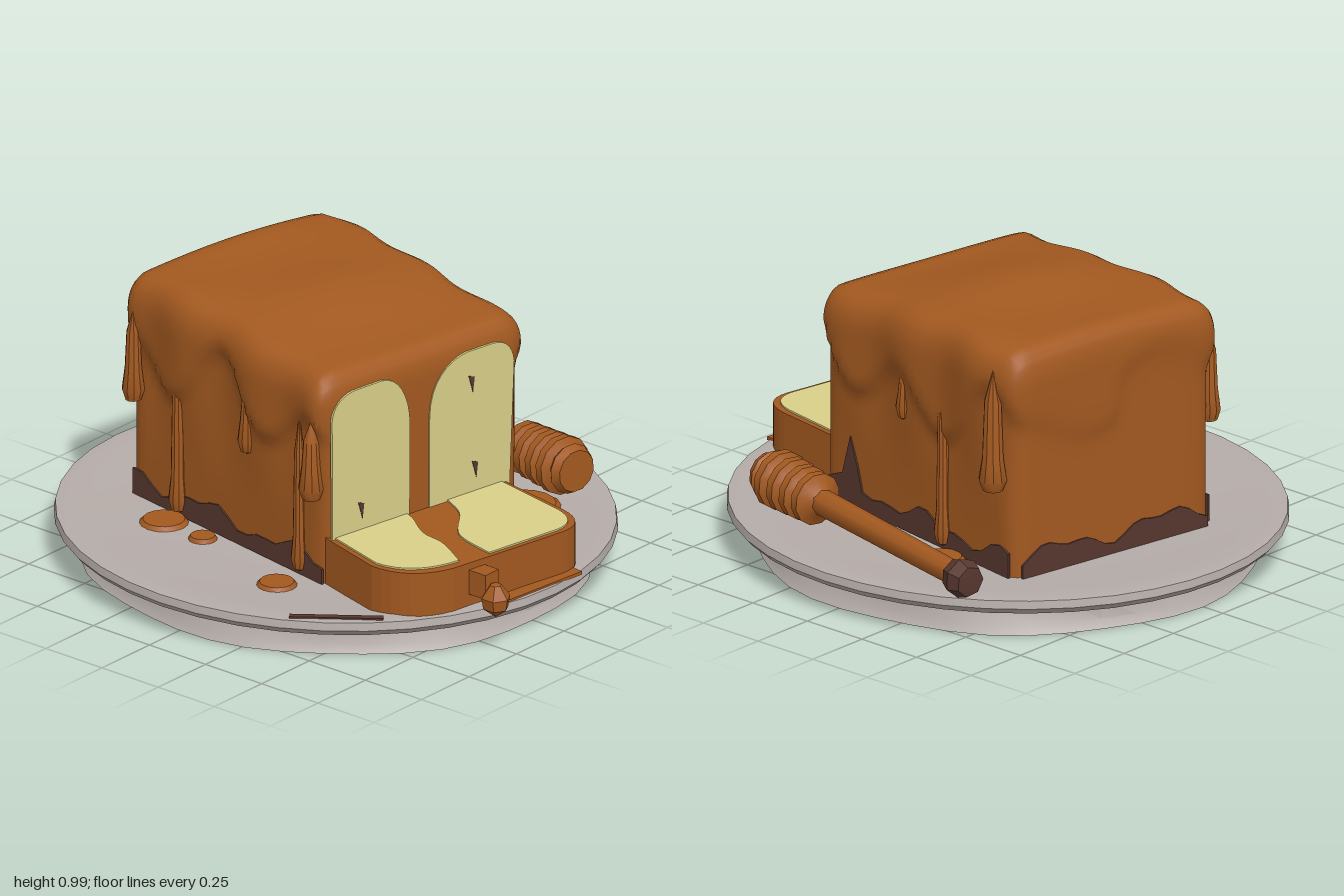
import * as THREE from 'three';
import { mergeVertices, toCreasedNormals } from 'three/addons/utils/BufferGeometryUtils.js';

const mat = (name, color) => {
  const m = new THREE.MeshStandardMaterial({ color });
  m.name = name;
  return m;
};
const { smoothstep, clamp } = THREE.MathUtils;
const V2 = (p) => p.map(([x, y]) => new THREE.Vector2(x, y));

export function createModel() {
  const glaze = mat('caramel glaze', 0xa35920);
  const cream = mat('cream crumb', 0xdacf88);
  const crust = mat('dark crust', 0x57372f);
  const china = mat('grey china', 0xb5aca8);

  const model = new THREE.Group();
  const add = (parent, name, geo, material, x = 0, y = 0, z = 0) => {
    const m = new THREE.Mesh(geo, material);
    m.name = name;
    m.position.set(x, y, z);
    parent.add(m);
    return m;
  };
  const crease = (geo, angle = 0.6) => {
    geo.deleteAttribute('uv');
    geo.deleteAttribute('normal');
    return toCreasedNormals(mergeVertices(geo, 1e-4), angle);
  };
  const lathe = (pts, n) => crease(new THREE.LatheGeometry(V2(pts), n));

  // Plate with a slightly uneven foot
  const plateGeo = new THREE.LatheGeometry(V2([[0, 0], [0.84, 0], [0.82, 0.03], [0.81, 0.1], [0.91, 0.107],
    [0.93, 0.13], [0.925, 0.158], [0.88, 0.163], [0.8, 0.152], [0.5, 0.147], [0, 0.147]]), 40);
  const pp = plateGeo.attributes.position;
  for (let i = 0; i < pp.count; i++) {
    const x = pp.getX(i), y = pp.getY(i), z = pp.getZ(i), a = Math.atan2(z, x);
    const k = y < 0.05 ? 1 + 0.012 * Math.sin(a * 7) : 1;
    pp.setXYZ(i, x * k, y, z * k * 1.056);
  }
  add(model, 'plate', crease(plateGeo), china, 0, 0, -0.016);

  // Caramel puddles on the plate
  const puddles = [[-0.44, -0.41, 0.085], [-0.46, -0.22, 0.05], [-0.59, 0.22, 0.07], [0.55, -0.21, 0.08],
    [0.53, -0.02, 0.05], [0.45, 0.44, 0.13], [0.38, 0.52, 0.06]];
  for (const [x, z, r] of puddles) {
    add(model, 'puddle', new THREE.CylinderGeometry(r * 0.85, r, 0.014, 16), glaze, x, 0.156, z);
  }
  const smear = add(model, 'rimSmear', new THREE.BoxGeometry(0.025, 0.008, 0.32), crust, -0.69, 0.162, 0.57);
  smear.rotation.y = 0.65;
  const frontPool = add(model, 'frontPool', new THREE.BoxGeometry(0.4, 0.012, 0.05), glaze, -0.06, 0.16, 0.92);
  frontPool.rotation.y = -0.1;

  // Loaf and slice share one turned frame
  const cake = new THREE.Group();
  cake.name = 'cake';
  cake.position.set(0.02, 0, -0.08);
  cake.rotation.y = -0.17;
  model.add(cake);

  // Loaf: box with rounded edges, swelling top and overhanging glaze
  const HX = 0.43, HZ = 0.53, Y0 = 0.15, Y1 = 0.905;
  const hem = (x, z) => 0.66 + 0.09 * Math.sin(z * 13 + (x > 0 ? 0.4 : 2)) + 0.04 * Math.sin(x * 11 + z * 5);
  const loaf = new THREE.BoxGeometry(2 * HX, Y1 - Y0, 2 * HZ, 26, 26, 32);
  const lp = loaf.attributes.position;
  const R = [0.08, 0.11, 0.06];
  for (let i = 0; i < lp.count; i++) {
    const p = [lp.getX(i), lp.getY(i) + (Y0 + Y1) / 2, lp.getZ(i)];
    const inner = [clamp(p[0], R[0] - HX, HX - R[0]), Math.min(p[1], Y1 - R[1]), clamp(p[2], R[2] - HZ, HZ - R[2])];
    const d = p.map((v, k) => (v - inner[k]) / R[k]);
    const len = Math.hypot(...d);
    const s = len > 0 ? Math.max(...d.map(Math.abs)) / len : 0;
    let [x, y, z] = inner.map((v, k) => v + d[k] * s * R[k]);
    const over = smoothstep(y, hem(x, z) - 0.03, hem(x, z) + 0.05);
    const ripple = 0.012 * Math.sin(z * 17 + Math.sign(x)) * smoothstep(y, 0.3, 0.7);
    const lift = smoothstep(-z, -0.5, 0.05) * 0.055 + 0.02 * (1 - (x / HX) ** 2) + 0.01 * Math.sin(z * 9 + 1) * Math.cos(x * 6);
    y += smoothstep(y, 0.6, 0.9) * lift;
    x *= 1 + (0.03 * over + ripple) / HX;
    if (z < -0.35) z -= 0.012 * over * smoothstep(-z, 0.35, 0.53);
    lp.setXYZ(i, x, y, z);
  }
  add(cake, 'glazedLoaf', crease(loaf, 0.9), glaze);

  // Dark crust showing along the foot of the sides and back
  const band = (half, seed) => {
    const pts = [[-half, Y0], [half, Y0]];
    for (let i = 0; i <= 20; i++) {
      const x = half * (1 - i / 10);
      pts.push([x, 0.225 + 0.025 * Math.sin(x * 14 + seed) + 0.015 * Math.sin(x * 31 + seed)]);
    }
    return new THREE.ExtrudeGeometry(new THREE.Shape(V2(pts)), { depth: 0.008, bevelEnabled: false });
  };
  add(cake, 'rightCrust', band(HZ - 0.03, 1), crust, HX - 0.002, 0, 0).rotation.y = Math.PI / 2;
  add(cake, 'leftCrust', band(HZ - 0.03, 3), crust, 2e-3 - HX, 0, 0).rotation.y = -Math.PI / 2;
  add(cake, 'backCrust', band(HX - 0.03, 5), crust, 0, 0, 2e-3 - HZ).rotation.y = Math.PI;
  const peak = new THREE.Shape(V2([[-0.07, 0.2], [0.06, 0.2], [0.03, 0.3], [-0.01, 0.4], [-0.04, 0.3]]));
  add(cake, 'crustPeak', new THREE.ExtrudeGeometry(peak, { depth: 0.008, bevelEnabled: false }), crust, HX - 0.002, 0, 0.36).rotation.y = Math.PI / 2;

  // Glaze drips: x, z, top, bottom, radius
  const drips = [[0.435, -0.14, 0.78, 0.16, 0.032], [0.455, -0.44, 0.9, 0.45, 0.05], [0.43, 0.08, 0.74, 0.55, 0.03],
    [-0.435, -0.26, 0.8, 0.16, 0.035], [-0.435, 0.38, 0.75, 0.16, 0.03], [-0.45, 0.46, 0.75, 0.45, 0.045],
    [-0.45, -0.48, 0.85, 0.5, 0.04], [-0.43, 0.1, 0.75, 0.5, 0.035]];
  for (const [x, z, top, bot, r] of drips) {
    const h = top - bot;
    add(cake, 'drip', lathe([[0, 0], [r * 0.7, 0.012], [r, 0.05], [r * 0.75, Math.min(0.13, h * 0.5)], [r * 0.6, h * 0.75], [0, h]], 10), glaze, x, bot, z);
  }

  // Cut crumb on the loaf front
  const plateOf = (shape, depth = 0.009) => new THREE.ExtrudeGeometry(shape, { depth, bevelEnabled: false, curveSegments: 8 });
  const leftCut = new THREE.Shape();
  leftCut.moveTo(-0.415, 0.2);
  leftCut.lineTo(-0.075, 0.2);
  leftCut.lineTo(-0.072, 0.66);
  leftCut.bezierCurveTo(-0.075, 0.76, -0.12, 0.85, -0.2, 0.852);
  leftCut.lineTo(-0.32, 0.85);
  leftCut.quadraticCurveTo(-0.41, 0.84, -0.418, 0.76);
  const rightCut = new THREE.Shape();
  rightCut.moveTo(0.012, 0.2);
  rightCut.lineTo(0.365, 0.2);
  rightCut.lineTo(0.39, 0.76);
  rightCut.quadraticCurveTo(0.38, 0.845, 0.3, 0.85);
  rightCut.lineTo(0.18, 0.85);
  rightCut.bezierCurveTo(0.09, 0.84, 0.02, 0.78, 0.015, 0.66);
  add(cake, 'rightHalfCrumb', plateOf(rightCut), cream, 0, 0, HZ - 0.005);
  add(cake, 'leftHalfCrumb', plateOf(leftCut), cream, 0, 0, HZ - 0.005);
  for (const [x, y] of [[-0.29, 0.4], [0.2, 0.73], [0.215, 0.41]]) {
    const fleck = new THREE.Shape(V2([[-0.013, 0.03], [0.006, -0.035], [0.013, 0.02]]));
    add(cake, 'crumbHole', plateOf(fleck, 0.003), crust, x, y, HZ + 0.003);
  }

  // Fallen slice: outlines drawn as (x, z), extruded downwards
  const flat = (shape, depth) => plateOf(shape, depth).rotateX(Math.PI / 2);
  const slab = new THREE.Shape();
  slab.moveTo(-0.42, 0.5);
  slab.lineTo(0.352, 0.5);
  slab.lineTo(0.352, 0.84);
  slab.quadraticCurveTo(0.345, 0.975, 0.23, 0.98);
  slab.lineTo(-0.25, 0.975);
  slab.quadraticCurveTo(-0.43, 0.95, -0.45, 0.78);
  add(cake, 'slice', flat(slab, 0.17), glaze, 0, 0.32, 0);
  const leftCrumb = new THREE.Shape();
  leftCrumb.moveTo(-0.4, 0.5);
  leftCrumb.lineTo(-0.08, 0.5);
  leftCrumb.splineThru(V2([[-0.095, 0.574], [-0.145, 0.69], [-0.15, 0.8], [-0.2, 0.945]]));
  leftCrumb.quadraticCurveTo(-0.4, 0.94, -0.43, 0.78);
  const rightCrumb = new THREE.Shape();
  rightCrumb.moveTo(0.1, 0.5);
  rightCrumb.lineTo(0.335, 0.5);
  rightCrumb.lineTo(0.33, 0.84);
  rightCrumb.quadraticCurveTo(0.32, 0.955, 0.22, 0.962);
  rightCrumb.lineTo(-0.08, 0.96);
  rightCrumb.splineThru(V2([[-0.06, 0.781], [0.05, 0.65], [0.086, 0.564], [0.1, 0.5]]));
  add(cake, 'sliceCrumbLeft', flat(leftCrumb, 0.008), cream, 0, 0.326, 0);
  add(cake, 'sliceCrumbRight', flat(rightCrumb, 0.008), cream, 0, 0.326, 0);
  // Drop of caramel hanging off the slice
  add(model, 'hangingDrop', lathe([[0, 0], [0.045, 0.035], [0.052, 0.075], [0.02, 0.12], [0, 0.125]], 6), glaze, -0.3, 0.14, 0.95);
  add(model, 'dropNeck', new THREE.BoxGeometry(0.07, 0.09, 0.09), glaze, -0.29, 0.25, 0.88);

  // Honey dipper: ridged head, rod and dark knob
  const dipper = new THREE.Group();
  dipper.name = 'honeyDipper';
  const a = new THREE.Vector3(0.58, 0.272, 0.565), b = new THREE.Vector3(0.8, 0.24, -0.53);
  dipper.position.copy(a);
  const dir = b.clone().sub(a);
  const L = dir.length();
  dipper.quaternion.setFromUnitVectors(new THREE.Vector3(0, 1, 0), dir.normalize());
  model.add(dipper);
  const head = [[0, 0], [0.075, 0], [0.09, 0.03]];
  for (let i = 0; i < 4; i++) {
    const y = 0.05 + i * 0.065, r = 0.105 - 0.004 * i;
    head.push([r - 0.03, y], [r, y + 0.015], [r, y + 0.045], [r - 0.03, y + 0.06]);
  }
  head.push([0.04, 0.325], [0, 0.33]);
  add(dipper, 'dipperHead', lathe(head, 12), glaze);
  add(dipper, 'dipperRod', new THREE.CylinderGeometry(0.042, 0.046, L - 0.3, 8), glaze, 0, (L + 0.3) / 2, 0);
  add(dipper, 'dipperKnob', lathe([[0, -0.055], [0.055, -0.045], [0.072, 0], [0.055, 0.045], [0, 0.05]], 7), crust, 0, L, 0);

  return model;
}
